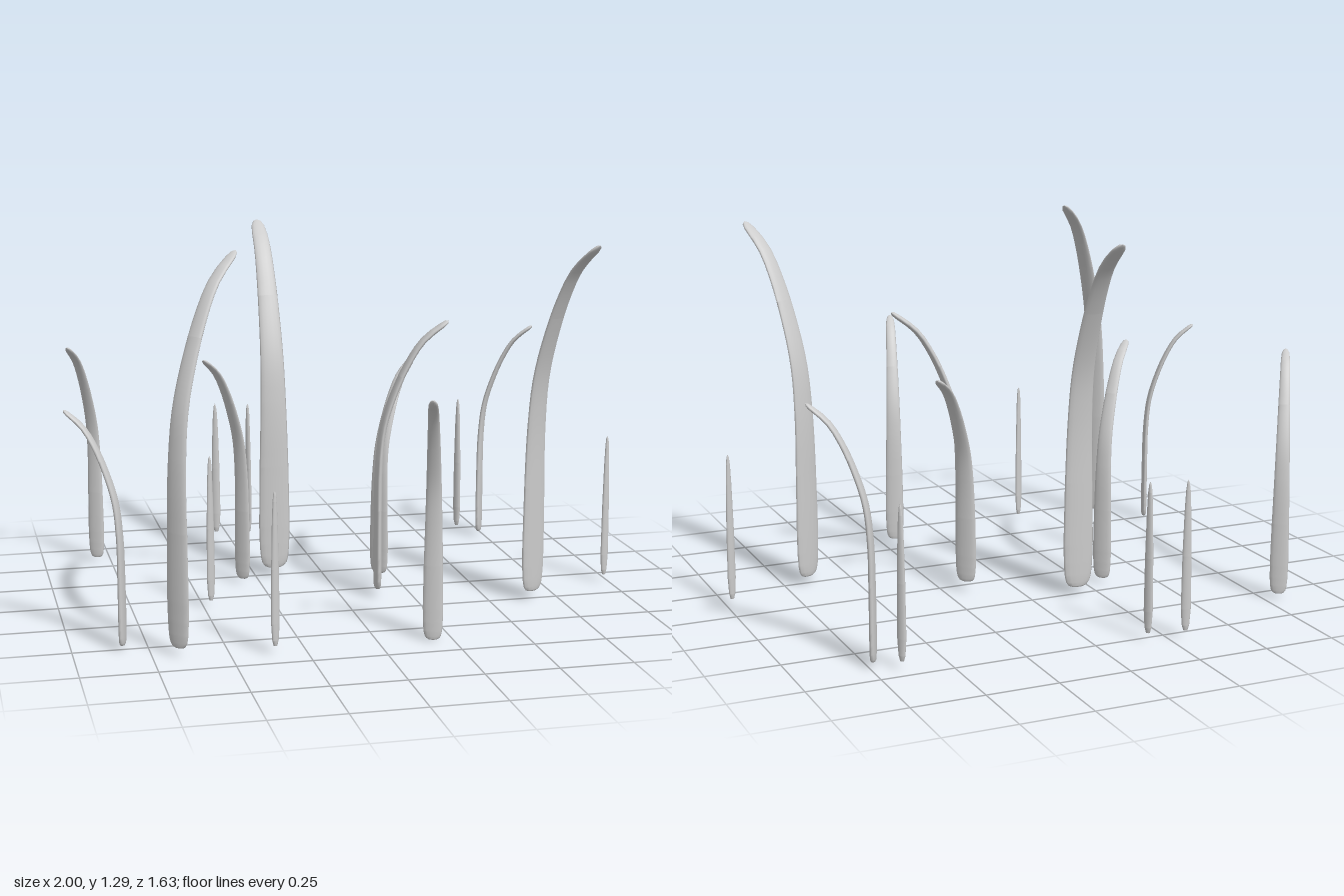
import * as THREE from 'three';

// Bend of a long blade: [fraction of height, fraction of sideways reach]
const BEND = [[0, 0], [0.25, 0], [0.47, 0.015], [0.62, 0.085], [0.76, 0.27], [0.86, 0.46], [0.93, 0.65], [1, 1]];
// Outline of a blade: [fraction of length, fraction of full width]
const WIDTH = [[0, 0], [0.001, 0.4], [0.005, 0.62], [0.015, 0.8], [0.03, 0.89], [0.06, 0.96], [0.12, 1], [0.28, 0.94],
  [0.45, 0.83], [0.75, 0.64], [0.94, 0.5], [0.975, 0.42], [0.992, 0.26], [1, 0]];
const SPROUT_WIDTH = [[0, 0], [0.003, 0.4], [0.04, 0.75], [0.15, 1], [0.5, 0.9], [0.8, 0.65], [0.93, 0.45], [0.98, 0.25], [1, 0]];

function lookup(table, u) {
  for (let i = 1; i < table.length; i++) {
    const [u0, a] = table[i - 1], [u1, b] = table[i];
    if (u <= u1) return a + (b - a) * (u - u0) / (u1 - u0);
  }
  return 0;
}

// Sweeps a flat oval along a curve; side is the direction of the oval's long axis
function sweepBlade(curve, side, width, thickness, outline) {
  const SEG = 14;
  const stations = outline.map(s => s[0]);
  for (let i = 1; i < 28; i++) stations.push(i / 28 + 0.0003);
  stations.sort((a, b) => a - b);
  const pos = [], index = [];
  stations.forEach((u, i) => {
    const c = curve.getPointAt(u);
    const n = new THREE.Vector3().crossVectors(side, curve.getTangentAt(u)).normalize();
    const w = lookup(outline, u);
    for (let j = 0; j < SEG; j++) {
      const a = j / SEG * Math.PI * 2;
      const p = c.clone()
        .addScaledVector(side, Math.cos(a) * w * width / 2)
        .addScaledVector(n, Math.sin(a) * Math.sqrt(w) * thickness / 2);
      pos.push(p.x, p.y, p.z);
      if (i === 0) continue;
      const k = (j + 1) % SEG, r0 = (i - 1) * SEG, r1 = i * SEG;
      index.push(r0 + j, r1 + j, r0 + k, r0 + k, r1 + j, r1 + k);
    }
  });
  const g = new THREE.BufferGeometry();
  g.setAttribute('position', new THREE.Float32BufferAttribute(pos, 3));
  g.setIndex(index);
  g.computeVertexNormals();
  return g;
}

export function createModel() {
  const group = new THREE.Group();
  const material = new THREE.MeshStandardMaterial({ color: 0xcccccc });
  const up = new THREE.Vector3(0, 1, 0);
  const add = (name, geometry) => {
    const mesh = new THREE.Mesh(geometry, material);
    mesh.name = name;
    group.add(mesh);
  };

  // Bent blades: base x, z, tip x, z, bottom y, top y, width
  const blades = [
    [-0.177, -0.252, -0.177, -0.56, 0.03, 1.295, 0.115],
    [-0.664, 0.605, -0.428, 0.405, 0.03, 1.295, 0.092],
    [0.66, 0.248, 0.783, 0.51, 0.03, 1.29, 0.104],
    [0.13, 0.09, 0.375, 0.125, 0.03, 0.995, 0.115],
    [-0.802, -0.58, -0.91, -0.405, 0.02, 0.86, 0.064],
    [-0.313, -0.17, -0.47, -0.035, 0.02, 0.86, 0.07],
    [0.175, -0.065, 0.328, -0.19, 0.04, 0.81, 0.082],
    [0.184, 0.627, 0.125, 0.81, 0.003, 0.85, 0.068],
    [-0.832, 0.489, -1.0, 0.42, 0.015, 0.795, 0.066],
    [0.732, -0.63, 0.907, -0.53, 0.02, 0.86, 0.072],
  ];
  blades.forEach(([x, z, tx, tz, y0, y1, w], i) => {
    const curve = new THREE.CatmullRomCurve3(BEND.map(([h, r]) =>
      new THREE.Vector3(x + (tx - x) * r, y0 + (y1 - y0) * h, z + (tz - z) * r)));
    const dir = new THREE.Vector3(tx - x, 0, tz - z).normalize();
    const side = new THREE.Vector3().crossVectors(up, dir);
    add(`grassBlade${i + 1}`, sweepBlade(curve, side, w, 0.012 + w * 0.14, WIDTH));
  });

  // Short straight sprouts: x, z, direction of the wide axis in x and z
  const sprouts = [
    [-0.303, -0.807, 1, 0.3], [-0.178, -0.778, 0.5, 0.87], [0.658, -0.693, 0.55, 0.83],
    [0.982, 0.112, 0.9, -0.43], [-0.476, 0.112, 0.85, -0.5], [-0.355, 0.657, 0.85, -0.5],
  ];
  sprouts.forEach(([x, z, dx, dz], i) => {
    const curve = new THREE.LineCurve3(new THREE.Vector3(x, 0.03, z), new THREE.Vector3(x, 0.55, z));
    add(`sprout${i + 1}`, sweepBlade(curve, new THREE.Vector3(dx, 0, dz).normalize(), 0.034, 0.017, SPROUT_WIDTH));
  });
  return group;
}
